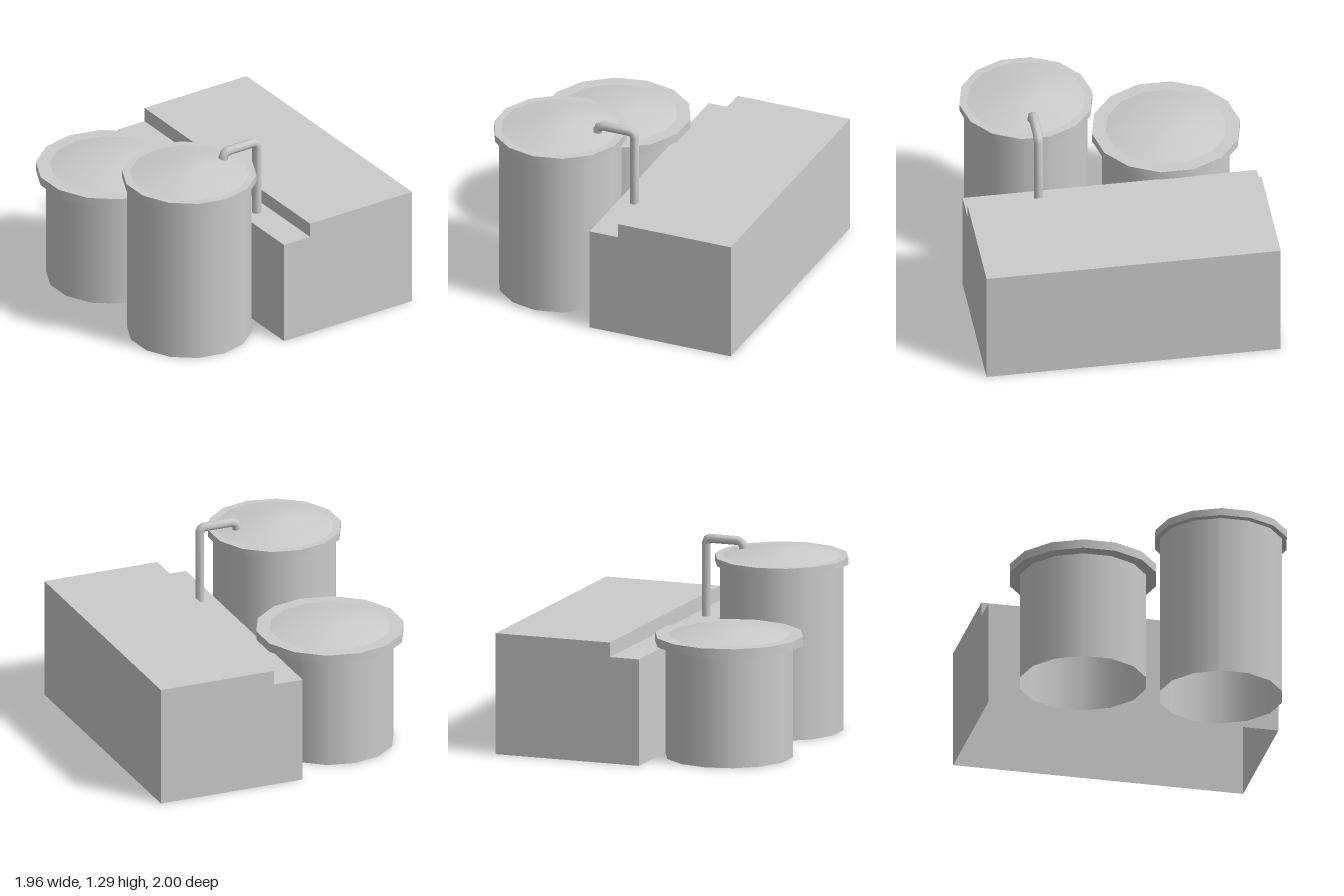
import * as THREE from 'three';

const material = new THREE.MeshStandardMaterial({ color: 0xcccccc, side: THREE.DoubleSide });
const SIDES = 14;

function addMesh(parent, name, geometry, y = 0) {
  const mesh = new THREE.Mesh(geometry, material);
  mesh.name = name;
  mesh.position.y = y;
  parent.add(mesh);
  return mesh;
}

// Open-bottomed drum with a loose lid: flat rim and a shallow dome
function makeTank({ name, x, z, radius, height, lidRadius, lidBottom, lidTop, domeBase, domeFlat, domeTop }) {
  const tank = new THREE.Group();
  tank.name = name;
  tank.position.set(x, 0, z);
  addMesh(tank, 'tankBody', new THREE.CylinderGeometry(radius, radius, height, SIDES, 1, true), height / 2);
  addMesh(tank, 'lidRim', new THREE.CylinderGeometry(lidRadius, lidRadius, lidTop - lidBottom, SIDES),
    (lidTop + lidBottom) / 2);
  const profile = [[domeBase, lidTop], [domeFlat, domeTop], [0, domeTop]].map(p => new THREE.Vector2(...p));
  addMesh(tank, 'lidDome', new THREE.LatheGeometry(profile, SIDES));
  return tank;
}

// Stepped block along z: extruded profile with the floor faces left out
function makeBlockGeometry() {
  const shape = new THREE.Shape([[-0.06, 0], [0.975, 0], [0.975, 0.83], [0.15, 0.83], [0.15, 0.73], [-0.06, 0.73]]
    .map(p => new THREE.Vector2(...p)));
  const solid = new THREE.ExtrudeGeometry(shape, { depth: 2, bevelEnabled: false }).translate(0, 0, -1);
  const source = solid.getAttribute('position');
  const kept = [];
  for (let i = 0; i < source.count; i += 3) {
    const corners = [0, 1, 2].map(k => new THREE.Vector3().fromBufferAttribute(source, i + k));
    if (corners.some(c => c.y > 1e-4)) corners.forEach(c => kept.push(c.x, c.y, c.z));
  }
  const geometry = new THREE.BufferGeometry();
  geometry.setAttribute('position', new THREE.Float32BufferAttribute(kept, 3));
  geometry.computeVertexNormals();
  return geometry;
}

// Curve that places one tube ring exactly on every path point
class PointPath extends THREE.Curve {
  constructor(points) {
    super();
    this.points = points;
  }
  getPointAt(u, target = new THREE.Vector3()) {
    return target.copy(this.points[Math.round(u * (this.points.length - 1))]);
  }
  getTangentAt(u, target = new THREE.Vector3()) {
    const p = this.points, last = p.length - 1, i = Math.round(u * last);
    target.set(0, 0, 0);
    if (i > 0) target.add(p[i].clone().sub(p[i - 1]).normalize());
    if (i < last) target.add(p[i + 1].clone().sub(p[i]).normalize());
    return target.normalize();
  }
}

export function createModel() {
  const model = new THREE.Group();
  model.name = 'tankStation';

  addMesh(model, 'steppedBlock', makeBlockGeometry());

  model.add(makeTank({
    name: 'tallTank', x: -0.493, z: 0.502, radius: 0.42, height: 1.13,
    lidRadius: 0.453, lidBottom: 1.137, lidTop: 1.188, domeBase: 0.4, domeFlat: 0.12, domeTop: 1.248,
  }));
  model.add(makeTank({
    name: 'shortTank', x: -0.493, z: -0.45, radius: 0.433, height: 0.76,
    lidRadius: 0.503, lidBottom: 0.77, lidTop: 0.831, domeBase: 0.41, domeFlat: 0.175, domeTop: 0.885,
  }));

  // Pipe rising from the step and bending over into the tall tank's lid
  const path = [[0.052, 0.73], [0.052, 1.23], [0.043, 1.253], [0.022, 1.263],
    [-0.18, 1.263], [-0.207, 1.25], [-0.218, 1.225], [-0.218, 1.19]]
    .map(([x, y]) => new THREE.Vector3(x, y, 0.502));
  addMesh(model, 'connectingPipe', new THREE.TubeGeometry(new PointPath(path), path.length - 1, 0.032, 8, false));

  return model;
}
